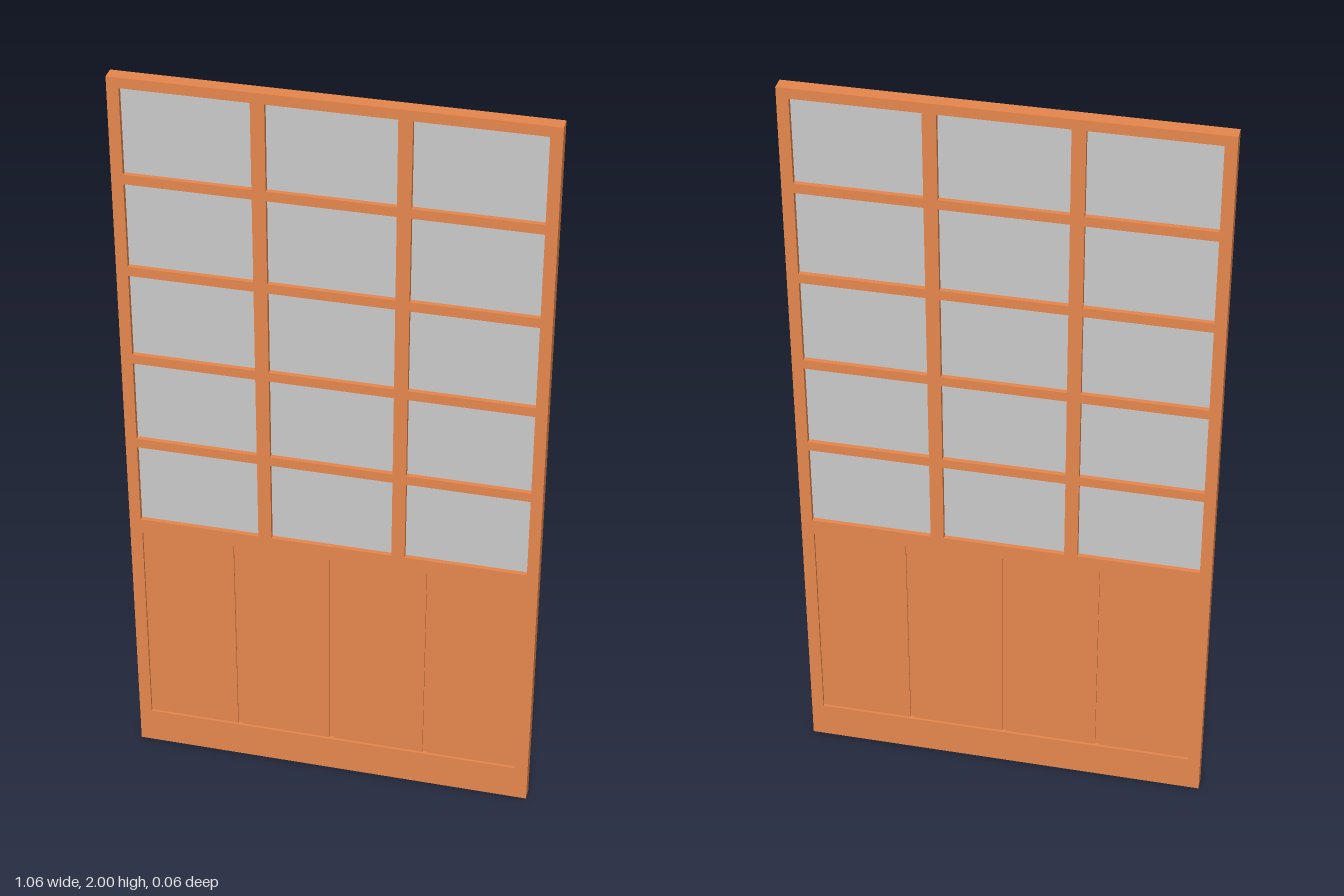
import * as THREE from 'three';

const WIDTH = 1.06, HEIGHT = 2, DEPTH = 0.035;
const wood = new THREE.MeshStandardMaterial({ color: 0xe8884d });
const grey = new THREE.MeshStandardMaterial({ color: 0xcccccc });

function rectHole(x, y, w, h) {
  const p = new THREE.Path();
  p.moveTo(x, y).lineTo(x, y + h).lineTo(x + w, y + h).lineTo(x + w, y).closePath();
  return p;
}

function box(name, w, h, d, x, y, material) {
  const mesh = new THREE.Mesh(new THREE.BoxGeometry(w, h, d), material);
  mesh.name = name;
  mesh.position.set(x, y, 0);
  return mesh;
}

export function createModel() {
  const model = new THREE.Group();
  model.name = 'glazedDoor';
  const door = new THREE.Group();
  door.name = 'doorLeaf';
  door.rotation.y = -0.0255; // leaf stands very slightly ajar
  model.add(door);

  // Frame with glazing bars: one board with all openings cut out
  const frame = new THREE.Shape();
  frame.moveTo(-WIDTH / 2, 0).lineTo(WIDTH / 2, 0).lineTo(WIDTH / 2, HEIGHT).lineTo(-WIDTH / 2, HEIGHT).closePath();

  // Glass panes, 3 columns by 5 rows
  const paneW = 0.311, paneH = 0.226;
  for (let row = 0; row < 5; row++) {
    for (let col = 0; col < 3; col++) {
      const x = (col - 1) * 0.345, y = 0.855 + row * 0.2513;
      frame.holes.push(rectHole(x - paneW / 2, y - paneH / 2, paneW, paneH));
      door.add(box('glassPane', paneW, paneH, 0.01, x, y, grey));
    }
  }

  // Lower panel: four boards with grooves between, on a thin core
  const panelW = 0.996, panelY = 0.1, panelH = 0.6, groove = 0.012;
  frame.holes.push(rectHole(-panelW / 2, panelY, panelW, panelH));
  const midY = panelY + panelH / 2;
  door.add(box('panelCore', panelW, panelH, 0.01, 0, midY, wood));
  const boardW = (panelW - 3 * groove) / 4;
  for (let i = 0; i < 4; i++) {
    door.add(box('panelBoard', boardW, panelH, 0.021, (i - 1.5) * (boardW + groove), midY, wood));
  }

  const frameGeometry = new THREE.ExtrudeGeometry(frame, { depth: DEPTH, bevelEnabled: false });
  frameGeometry.translate(0, 0, -DEPTH / 2);
  const frameMesh = new THREE.Mesh(frameGeometry, wood);
  frameMesh.name = 'doorFrame';
  door.add(frameMesh);

  return model;
}
